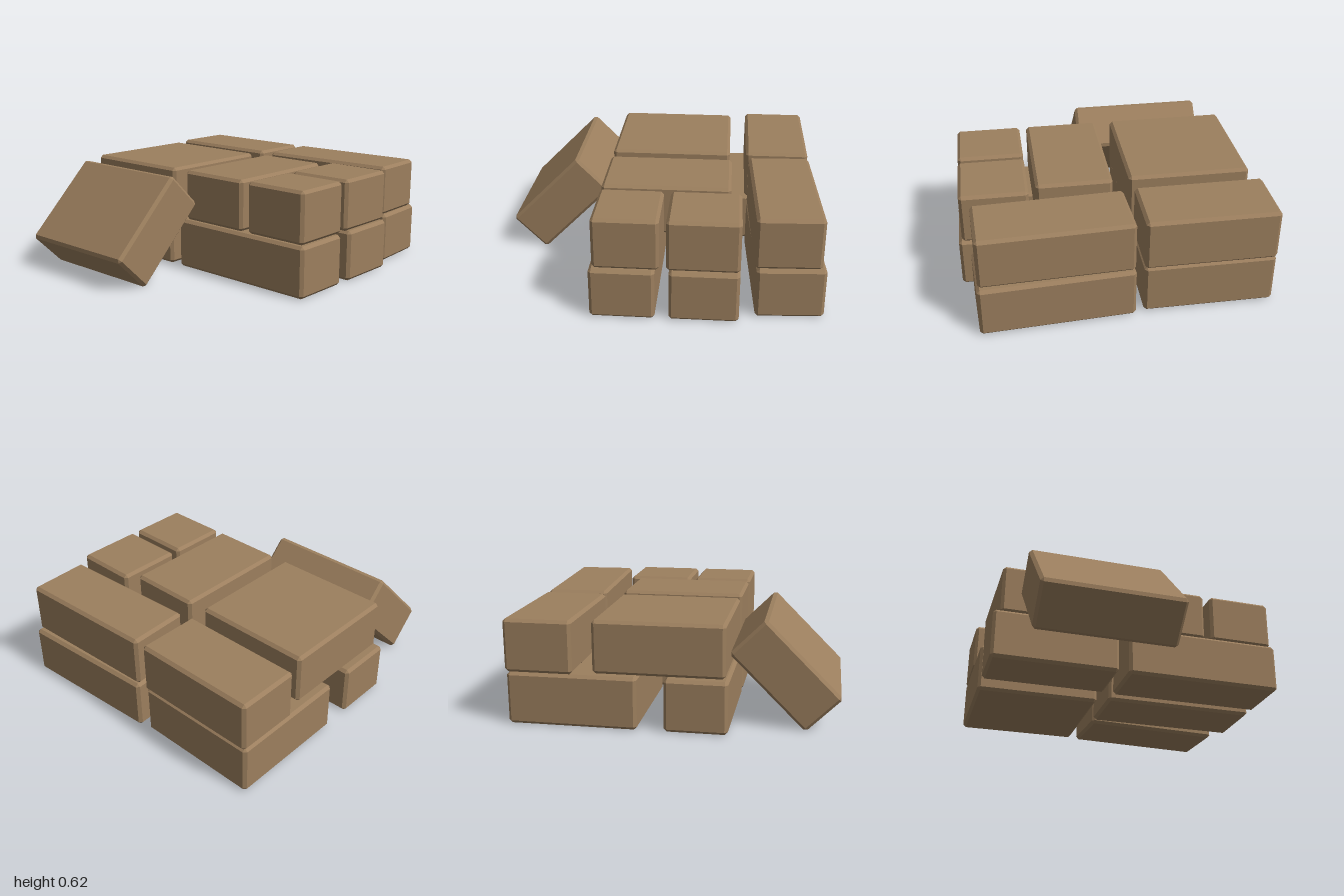
import * as THREE from 'three';
import { ConvexGeometry } from 'three/addons/geometries/ConvexGeometry.js';

// Box with flat chamfered edges, centred on the origin
function chamferBox(w, h, d, c = 0.018) {
  const points = [];
  for (const sx of [-1, 1]) for (const sy of [-1, 1]) for (const sz of [-1, 1]) {
    const x = w / 2, y = h / 2, z = d / 2;
    points.push(
      new THREE.Vector3(sx * x, sy * (y - c), sz * (z - c)),
      new THREE.Vector3(sx * (x - c), sy * y, sz * (z - c)),
      new THREE.Vector3(sx * (x - c), sy * (y - c), sz * z));
  }
  return new ConvexGeometry(points);
}

export function createModel() {
  const group = new THREE.Group();
  const cardboard = new THREE.MeshStandardMaterial({ color: 0x9c7f5e });
  cardboard.name = 'cardboard brown';

  // Adds a crate spanning x0..x1, y0..y1, z0..z1, turned about its centre
  function crate(name, [x0, x1], [y0, y1], [z0, z1], yaw = 0, roll = 0) {
    const mesh = new THREE.Mesh(chamferBox(x1 - x0, y1 - y0, z1 - z0), cardboard);
    mesh.name = name;
    mesh.position.set((x0 + x1) / 2, (y0 + y1) / 2, (z0 + z1) / 2);
    mesh.rotation.set(0, yaw, roll);
    group.add(mesh);
  }

  // Lower layer
  const low = [0.015, 0.325];
  crate('lowerFrontRightCrate', [-0.37, 0.01], low, [-0.075, 0.91]);
  crate('lowerFrontMiddleCrate', [0.09, 0.495], low, [-0.075, 0.91]);
  crate('lowerFrontLeftCrate', [0.56, 0.96], low, [-0.08, 0.83], 0.06);
  crate('lowerBackRightCrate', [-0.37, -0.005], low, [-0.92, -0.14]);
  crate('lowerBackLeftCrate', [0.15, 0.91], low, [-0.92, -0.14]);

  // Upper layer
  const high = [0.325, 0.638];
  crate('upperBackWideCrate', [-0.35, 0.415], high, [-0.875, -0.13]);
  crate('upperBackLeftCrate', [0.52, 0.92], high, [-0.92, -0.14]);
  crate('upperMiddleCrate', [-0.35, 0.43], high, [-0.03, 0.435]);
  crate('upperFrontRightCrate', [-0.35, 0.035], high, [0.48, 0.89]);
  crate('upperFrontMiddleCrate', [0.075, 0.495], high, [0.48, 0.89]);
  crate('upperFrontLeftCrate', [0.555, 0.94], high, [-0.08, 0.82], 0.044);

  // Crate leaning against the side of the stack
  crate('leaningCrate', [-0.99, -0.365], [0.18, 0.473], [-0.76, 0.08], 0, Math.PI / 4);

  return group;
}
